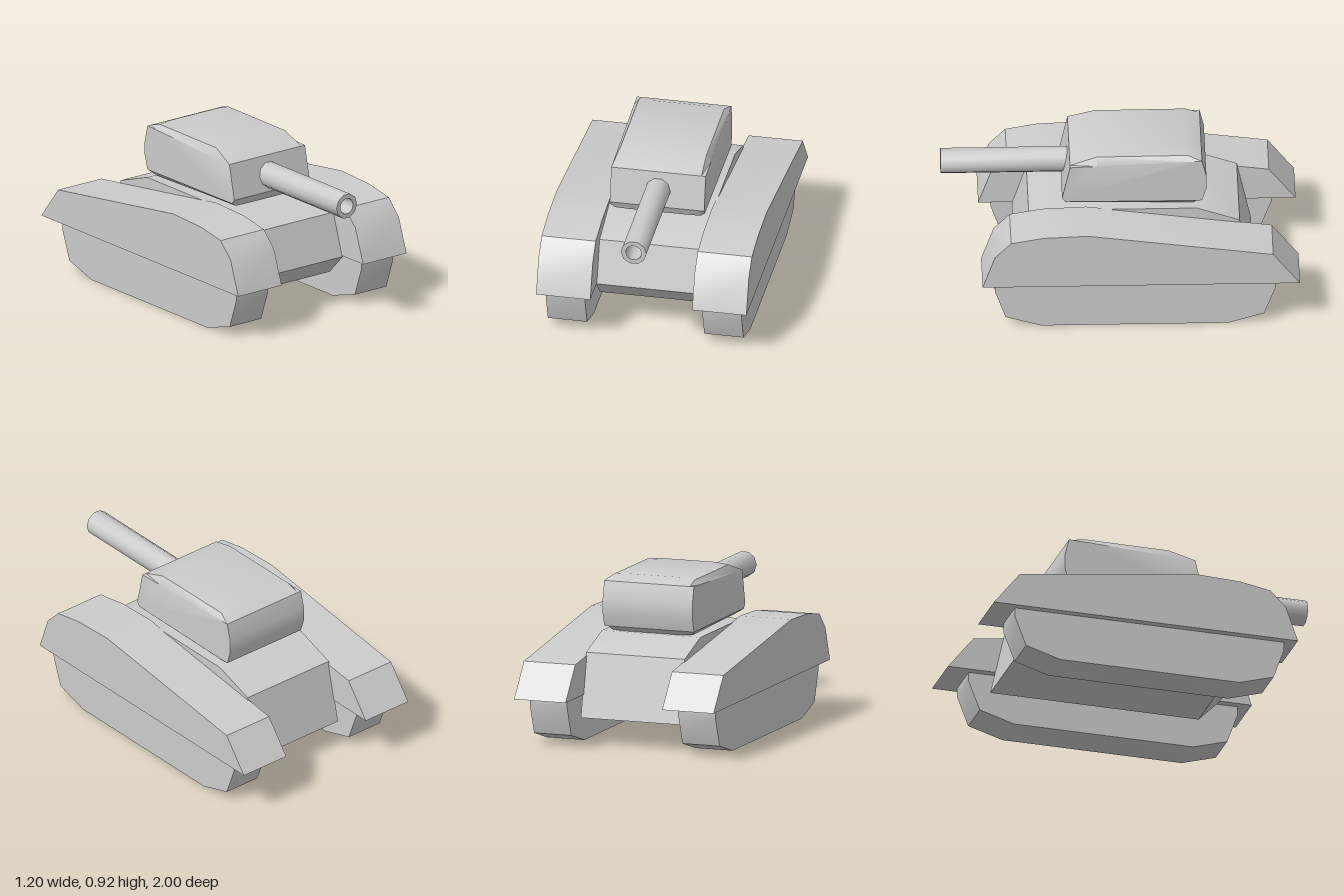
import * as THREE from 'three';
import { toCreasedNormals } from 'three/addons/utils/BufferGeometryUtils.js';

const grey = new THREE.MeshStandardMaterial({ color: 0xcccccc });

function part(name, geometry, crease = 0.5) {
  const mesh = new THREE.Mesh(toCreasedNormals(geometry, crease), grey);
  mesh.name = name;
  return mesh;
}

// Side profile of [z, y] points, extruded across x and centred on x
function slab(name, profile, x, width) {
  const shape = new THREE.Shape(profile.map(([z, y]) => new THREE.Vector2(z, y)));
  const geometry = new THREE.ExtrudeGeometry(shape, { depth: width, bevelEnabled: false });
  geometry.rotateY(-Math.PI / 2).translate(x + width / 2, 0, 0);
  return part(name, geometry);
}

// Skin over side sections of equal point count, ordered from -x to +x
function loft(name, sections) {
  const n = sections[0].points.length;
  const positions = sections.flatMap(({ x, points }) => points.flatMap(([z, y]) => [x, y, z]));
  const index = [];
  for (let i = 0; i < sections.length - 1; i++) {
    for (let j = 0; j < n; j++) {
      const a = i * n + j, b = i * n + (j + 1) % n;
      index.push(a, a + n, b + n, a, b + n, b);
    }
  }
  const last = (sections.length - 1) * n;
  for (let j = 1; j < n - 1; j++) {
    index.push(0, j, j + 1, last, last + j + 1, last + j);
  }
  const geometry = new THREE.BufferGeometry();
  geometry.setAttribute('position', new THREE.Float32BufferAttribute(positions, 3));
  geometry.setIndex(index);
  return part(name, geometry);
}

function createTurret() {
  // Shared front and rear faces; only the roof and floor change towards the sides
  const section = (x, roofFront, roofBack, floorBack, floorFront) => ({
    x,
    points: [
      [0.325, 0.66], [0.28, 0.86], [0.13, roofFront], [-0.38, roofBack], [-0.46, 0.89],
      [-0.485, 0.79], [-0.485, 0.71], [-0.46, 0.632], [-0.41, floorBack], [0.305, floorFront],
    ],
  });
  const half = [
    [0.17, 0.923, 0.923, 0.6, 0.615],
    [0.245, 0.913, 0.915, 0.605, 0.617],
    [0.27, 0.866, 0.887, 0.631, 0.635],
  ];
  const left = half.map((s) => section(...s));
  const right = half.map(([x, ...rest]) => section(-x, ...rest)).reverse();
  return loft('turret', [...right, ...left]);
}

function createBarrel() {
  // Ten-sided tube with a blind bore at the muzzle
  const profile = [[0.073, 0.22], [0.073, 1], [0.046, 1], [0.046, 0.6], [0, 0.6]]
    .map(([r, z]) => new THREE.Vector2(r, z));
  const geometry = new THREE.LatheGeometry(profile, 10, Math.PI / 2);
  geometry.rotateX(Math.PI / 2).translate(0, 0.75, 0);
  return part('gunBarrel', geometry, 0.7);
}

export function createModel() {
  const model = new THREE.Group();
  model.name = 'tank';

  // Hull between the tracks
  model.add(slab('hull', [
    [0.47, 0.155], [0.59, 0.277], [0.51, 0.52], [0.2, 0.598],
    [-0.43, 0.598], [-0.67, 0.515], [-0.75, 0.155],
  ], 0, 0.594));

  // Fenders and tracks, mirrored
  const fender = [
    [0.78, 0.283], [0.71, 0.48], [0.62, 0.572], [0.44, 0.604],
    [0.19, 0.614], [-0.85, 0.475], [-1, 0.283],
  ];
  const track = [
    [0.71, 0.29], [0.71, 0.23], [0.65, 0.06], [0.45, 0],
    [-0.6, 0], [-0.8, 0.06], [-0.865, 0.23], [-0.865, 0.29],
  ];
  for (const [side, sign] of [['left', 1], ['right', -1]]) {
    model.add(slab(side + 'Fender', fender, sign * 0.446, 0.31));
    model.add(slab(side + 'Track', track, sign * 0.447, 0.224));
  }

  model.add(createTurret(), createBarrel());
  return model;
}
